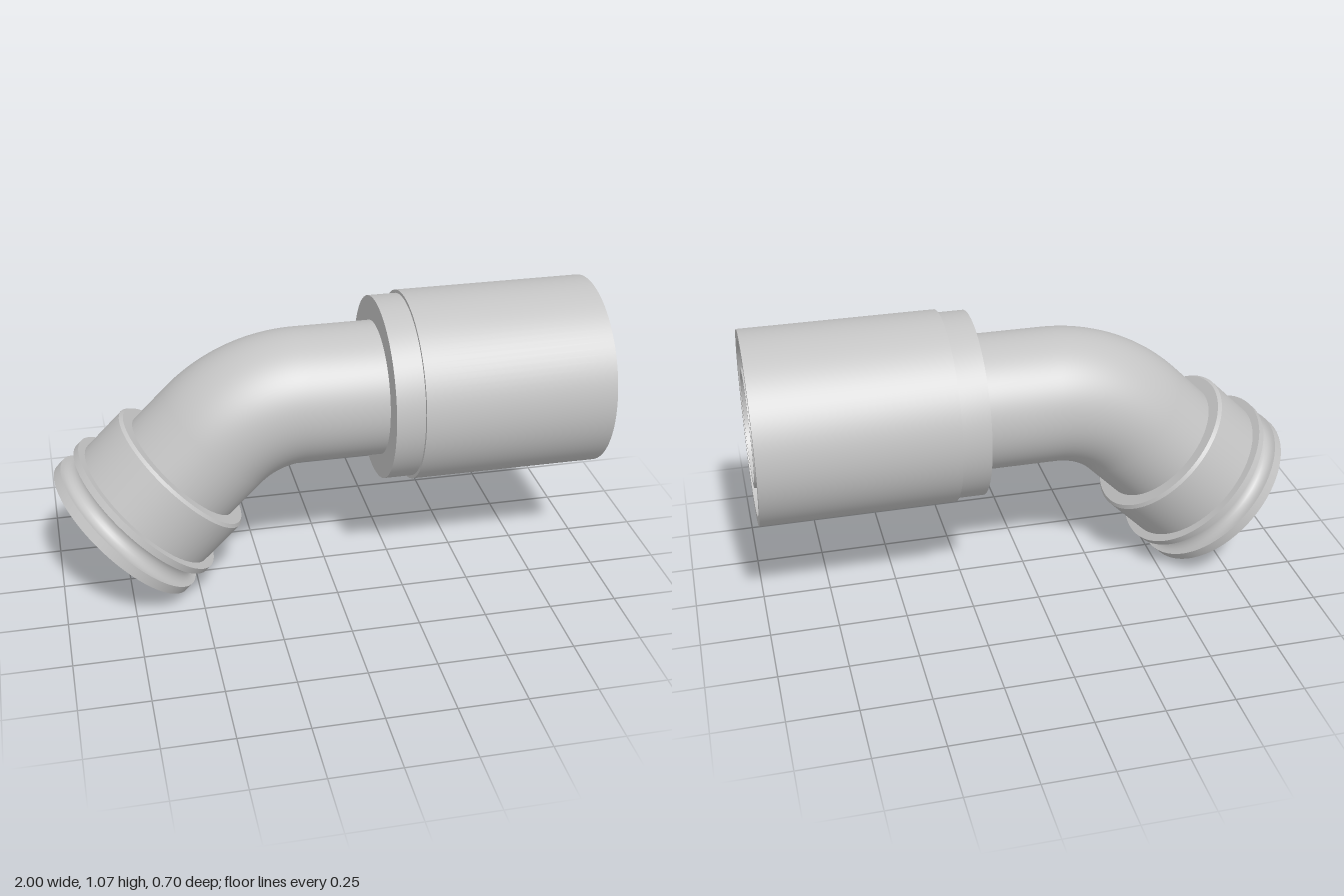
import * as THREE from 'three';
import { toCreasedNormals } from 'three/addons/utils/BufferGeometryUtils.js';

const AXIS_Y = 0.72;                      // height of the straight run
const BEND_R = 0.453, BEND_X = -0.0925;   // bend radius and where it starts
const BEND = Math.PI / 4;
const END = new THREE.Vector3(-0.765, 0.235, 0); // centre of the spigot face
const PIPE_R = 0.248, BORE_R = 0.195;

// Circular arc that turns the pipe downwards by 45 degrees
class BendCurve extends THREE.Curve {
  getPoint(t, target = new THREE.Vector3()) {
    const a = t * BEND;
    return target.set(BEND_X - BEND_R * Math.sin(a), AXIS_Y - BEND_R * (1 - Math.cos(a)), 0);
  }
}

// Centre line from the socket to a distance above the spigot face
function centreLine(startX, endDistance) {
  const arc = new BendCurve();
  const stop = END.clone().addScaledVector(new THREE.Vector3(1, 1, 0).normalize(), endDistance);
  const path = new THREE.CurvePath();
  path.add(new THREE.LineCurve3(new THREE.Vector3(startX, AXIS_Y, 0), arc.getPoint(0)));
  path.add(arc);
  path.add(new THREE.LineCurve3(arc.getPoint(1), stop));
  return path;
}

// Turned part with crisp edges; profile is [radius, distance along axis]
function turned(profile) {
  const points = profile.map(([r, d]) => new THREE.Vector2(r, d));
  return toCreasedNormals(new THREE.LatheGeometry(points, 96), 0.5);
}

export function createModel() {
  const group = new THREE.Group();
  const metal = new THREE.MeshStandardMaterial({ color: 0xc4c4c4 });
  metal.name = 'light grey metal';

  function add(name, geometry) {
    const mesh = new THREE.Mesh(geometry, metal);
    mesh.name = name;
    group.add(mesh);
    return mesh;
  }

  // Bent pipe, outside
  add('bentPipe', new THREE.TubeGeometry(centreLine(0.35, 0.3), 160, PIPE_R, 96));

  // Bore, with its faces turned inwards
  const bore = new THREE.TubeGeometry(centreLine(1, 0.29), 160, BORE_R, 96);
  bore.index.array.reverse();
  const normals = bore.attributes.normal;
  for (let i = 0; i < normals.array.length; i++) normals.array[i] *= -1;
  add('bore', bore);

  // Collar, sleeve, tapered annular gap and inner nozzle
  const socket = add('socketSleeve', turned([
    [PIPE_R, 0.19], [0.338, 0.19], [0.338, 0.295], [0.35, 0.295], [0.35, 1],
    [0.315, 1], [0.283, 0.35], [0.247, 0.35], [0.213, 1], [BORE_R, 1],
  ]));
  socket.position.y = AXIS_Y;
  socket.rotation.z = -Math.PI / 2;

  // Spigot with a rounded seal groove between two flanges
  const groove = [];
  for (let i = 0; i <= 10; i++) {
    const a = (i / 10) * Math.PI;
    groove.push([0.322 - 0.036 * Math.sin(a), 0.0735 - 0.0365 * Math.cos(a)]);
  }
  const spigot = add('grooveSpigot', turned([
    [BORE_R, 0.29], [0.17, 0.29], [0.17, 0.27], [0.25, 0.27], [0.25, 0],
    [0.332, 0], [0.332, 0.037], ...groove, [0.333, 0.11], [0.333, 0.136],
    [0.302, 0.136], [0.302, 0.322], [0.292, 0.333], [PIPE_R, 0.333],
  ]));
  spigot.position.copy(END);
  spigot.rotation.z = -BEND;

  return group;
}
